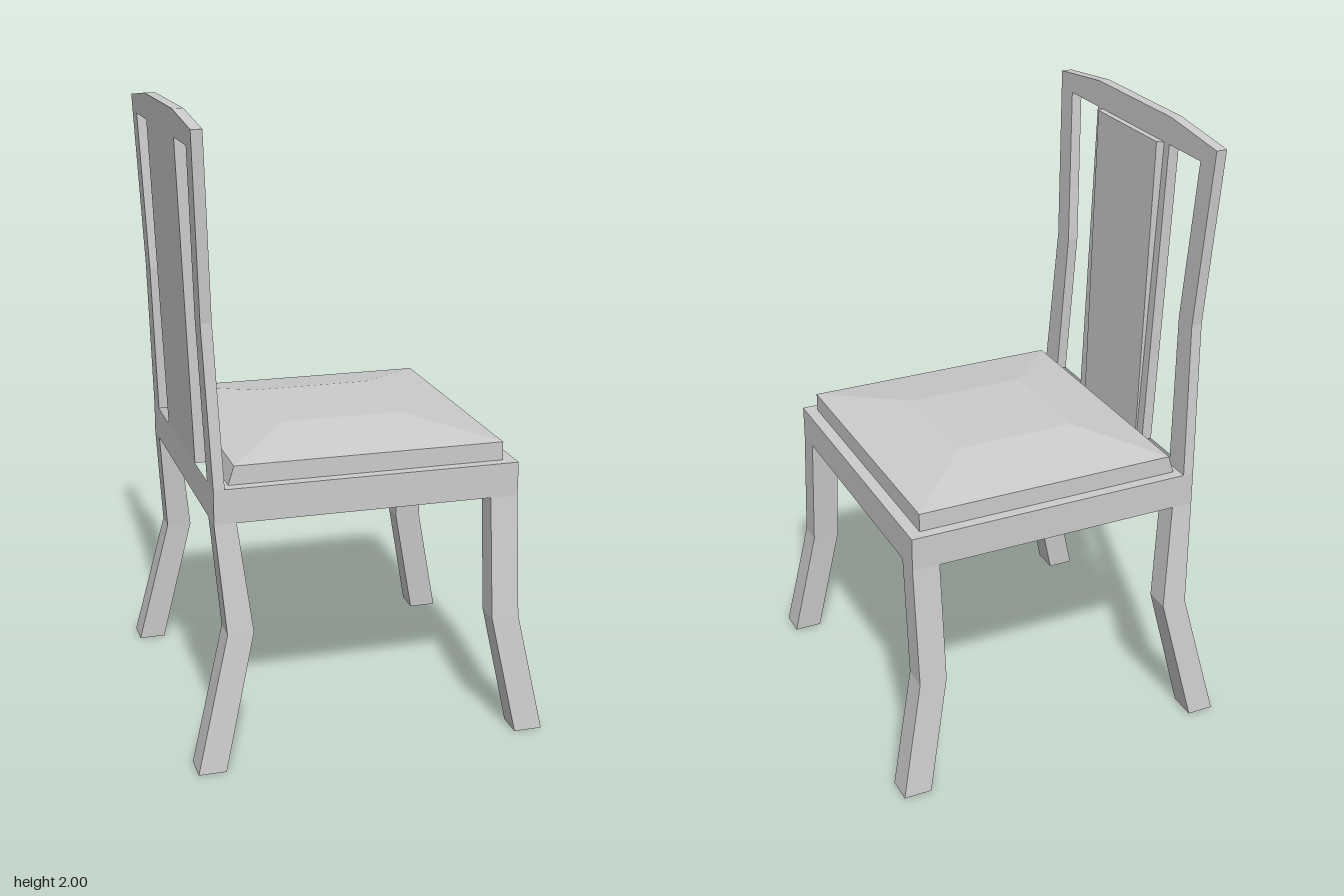
import * as THREE from 'three';

const material = new THREE.MeshStandardMaterial({ color: 0xcccccc, flatShading: true });
const sheet = new THREE.MeshStandardMaterial({ color: 0xcccccc, side: THREE.DoubleSide });

// Capped solid through four-cornered rings, listed upwards.
// Ring: { y, c: four [x, z] corners, counter-clockwise seen from above }.
function loft(rings) {
  const pos = [];
  const p = (r, i) => [r.c[i % 4][0], r.y, r.c[i % 4][1]];
  const quad = (a, b, c, d) => pos.push(...a, ...b, ...c, ...a, ...c, ...d);
  for (let k = 0; k < rings.length - 1; k++) {
    const lo = rings[k], hi = rings[k + 1];
    for (let i = 0; i < 4; i++) quad(p(lo, i), p(lo, i + 1), p(hi, i + 1), p(hi, i));
  }
  const bottom = rings[0], top = rings[rings.length - 1];
  quad(p(bottom, 3), p(bottom, 2), p(bottom, 1), p(bottom, 0));
  quad(p(top, 0), p(top, 1), p(top, 2), p(top, 3));
  const g = new THREE.BufferGeometry();
  g.setAttribute('position', new THREE.Float32BufferAttribute(pos, 3));
  g.computeVertexNormals();
  return g;
}

const rect = (y, x0, x1, z0, z1) => ({ y, c: [[x0, z1], [x1, z1], [x1, z0], [x0, z0]] });

export function createModel() {
  const chair = new THREE.Group();
  chair.name = 'chair';
  const add = (name, geometry, mat = material) => {
    const mesh = new THREE.Mesh(geometry, mat);
    mesh.name = name;
    chair.add(mesh);
    return mesh;
  };

  const railBottom = 0.785, seatY = 0.895, half = 0.49;

  // Bent, splayed legs: [y, x0, x1, inner z, outer z]
  const frontLeg = [[0, 0.475, 0.567, 0.48, 0.568], [0.39, 0.4, 0.49, 0.447, 0.53], [railBottom, 0.4, 0.49, 0.41, 0.49]];
  const backLeg = [[0, -0.57, -0.482, 0.477, 0.57], [0.44, -0.463, -0.38, 0.447, 0.53], [railBottom, -0.49, -0.42, 0.41, 0.49]];
  for (const [name, leg] of [['FrontLeg', frontLeg], ['BackLeg', backLeg]]) {
    add('left' + name, loft(leg.map(([y, x0, x1, zi, zo]) => rect(y, x0, x1, zi, zo))));
    add('right' + name, loft(leg.map(([y, x0, x1, zi, zo]) => rect(y, x0, x1, -zo, -zi))));
  }

  // Thin apron around the seat, open underneath
  const apronHeight = seatY - railBottom;
  for (let i = 0; i < 4; i++) {
    const g = new THREE.PlaneGeometry(2 * half, apronHeight);
    g.translate(0, railBottom + apronHeight / 2, half).rotateY((i * Math.PI) / 2);
    add('apron' + (i + 1), g, sheet);
  }

  // Seat deck, stopping short of the back frame
  const deckBack = -0.455;
  const deck = new THREE.PlaneGeometry(half - deckBack, 2 * half);
  deck.rotateX(-Math.PI / 2).translate((half + deckBack) / 2, seatY, 0);
  add('seatDeck', deck, sheet);

  // Cushion with sloping top
  add('cushion', loft([
    rect(seatY, -0.437, 0.45, -0.455, 0.455),
    rect(0.955, -0.418, 0.45, -0.455, 0.455),
    rect(0.997, -0.2, 0.2, -0.19, 0.19),
  ]));

  // Back frame: uprights, top rail and centre slab in one leaning outline
  const side = [
    [0.22, seatY], [0.23, 1.915], [0.412, 1.915], [0.375, 1.4], [0.4, seatY],
    [0.49, seatY], [0.453, 1.4], [0.494, 1.97], [0.23, 2],
  ];
  const outline = [...side, ...side.map(([u, y]) => [-u, y]).reverse()];
  const shape = new THREE.Shape(outline.map(([u, y]) => new THREE.Vector2(u, y)));
  const back = new THREE.ExtrudeGeometry(shape, { depth: 0.035, bevelEnabled: false });
  back.rotateY(Math.PI / 2);
  const lean = (y) => -half - (0.047 * (y - seatY)) / (2 - seatY);
  const pos = back.attributes.position;
  for (let i = 0; i < pos.count; i++) pos.setX(i, pos.getX(i) + lean(pos.getY(i)));
  back.computeVertexNormals();
  add('backFrame', back);

  // Raised panel with chamfered sides on the centre slab
  const panelRing = (y, xb, xf, zb, zf) => ({ y, c: [[xb, zb], [xf, zf], [xf, -zf], [xb, -zb]] });
  add('backPanel', loft([
    panelRing(seatY, -0.475, -0.452, 0.205, 0.18),
    panelRing(1.915, -0.515, -0.478, 0.21, 0.188),
  ]));

  return chair;
}
